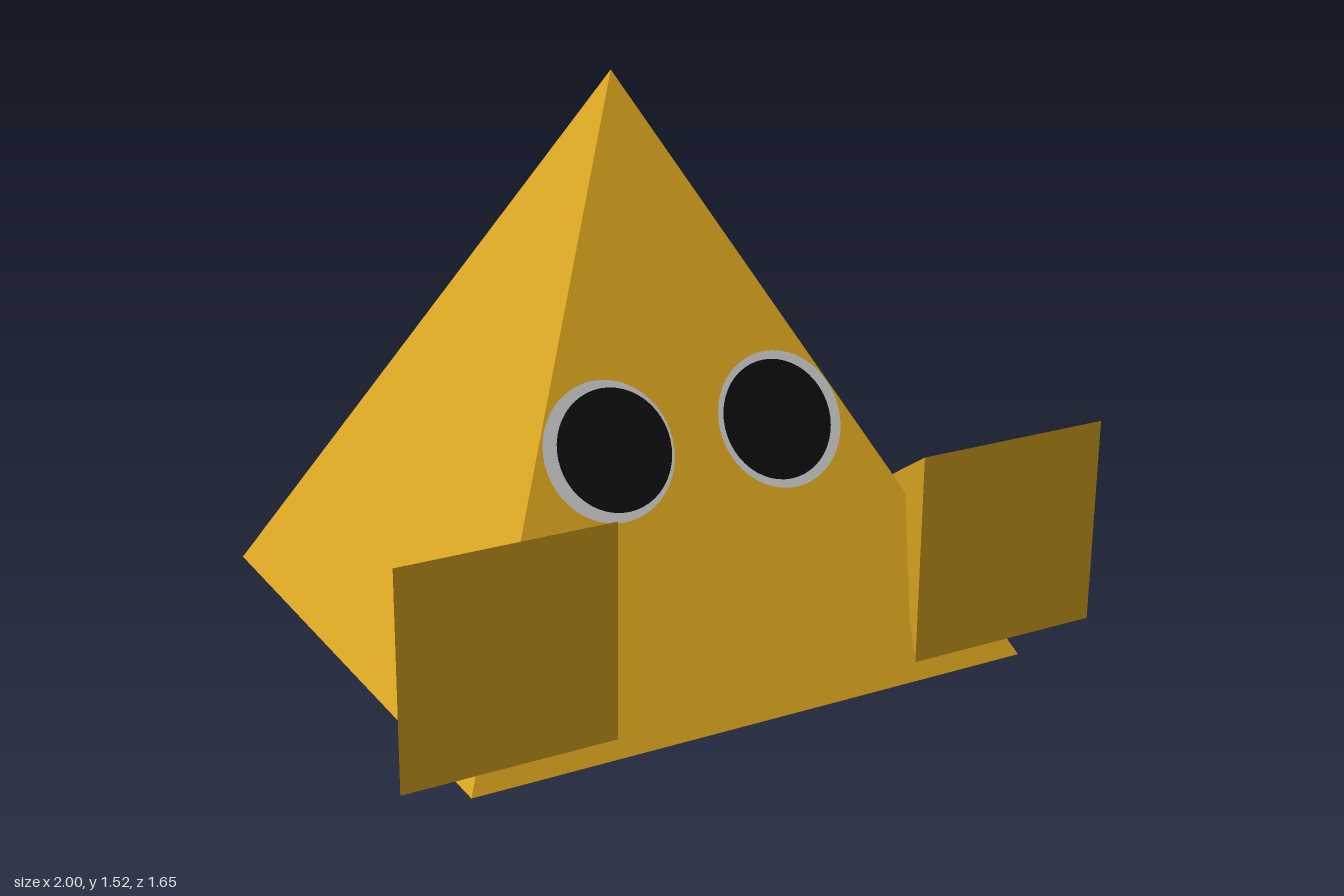
import * as THREE from 'three';

const gold = new THREE.MeshStandardMaterial({ color: 0xdaa520, flatShading: true });
const silver = new THREE.MeshStandardMaterial({ color: 0xc0c0c0, side: THREE.DoubleSide });
const black = new THREE.MeshStandardMaterial({ color: 0x0d0d0d, side: THREE.DoubleSide });

const HALF = 0.805, HEIGHT = 1.52, CENTRE_Z = -0.02;

// Square pyramid with its sides along the axes, centred on its mid height
function pyramid(name, half, height) {
  const geometry = new THREE.ConeGeometry(half * Math.SQRT2, height, 4);
  geometry.rotateY(Math.PI / 4);
  const mesh = new THREE.Mesh(geometry, gold);
  mesh.name = name;
  return mesh;
}

function disc(name, radius, material, x, lift) {
  const mesh = new THREE.Mesh(new THREE.CircleGeometry(radius, 48), material);
  mesh.name = name;
  mesh.position.set(x, 0, lift);
  return mesh;
}

export function createModel() {
  const model = new THREE.Group();
  model.name = 'pyramidCreature';

  // Body
  const body = pyramid('body', HALF, HEIGHT);
  body.position.set(0, HEIGHT / 2, CENTRE_Z);
  model.add(body);

  // Eyes lie flat on the sloping front face
  const eyeY = 0.655;
  const eyes = new THREE.Group();
  eyes.name = 'eyes';
  eyes.position.set(0, eyeY, CENTRE_Z + HALF * (1 - eyeY / HEIGHT));
  eyes.rotation.x = -Math.atan2(HALF, HEIGHT);
  model.add(eyes);

  for (const [side, s] of [['left', 1], ['right', -1]]) {
    eyes.add(disc(side + 'EyeWhite', 0.182, silver, s * 0.252, 0.004));
    eyes.add(disc(side + 'Pupil', 0.159, black, s * 0.24, 0.012));

    // Hands: small pyramids with the base to the front and the tip to the back
    const hand = pyramid(side + 'Hand', 0.282, 0.53);
    hand.rotation.x = -Math.PI / 2;
    hand.position.set(s * 0.718, 0.362, 0.56);
    model.add(hand);
  }
  return model;
}
